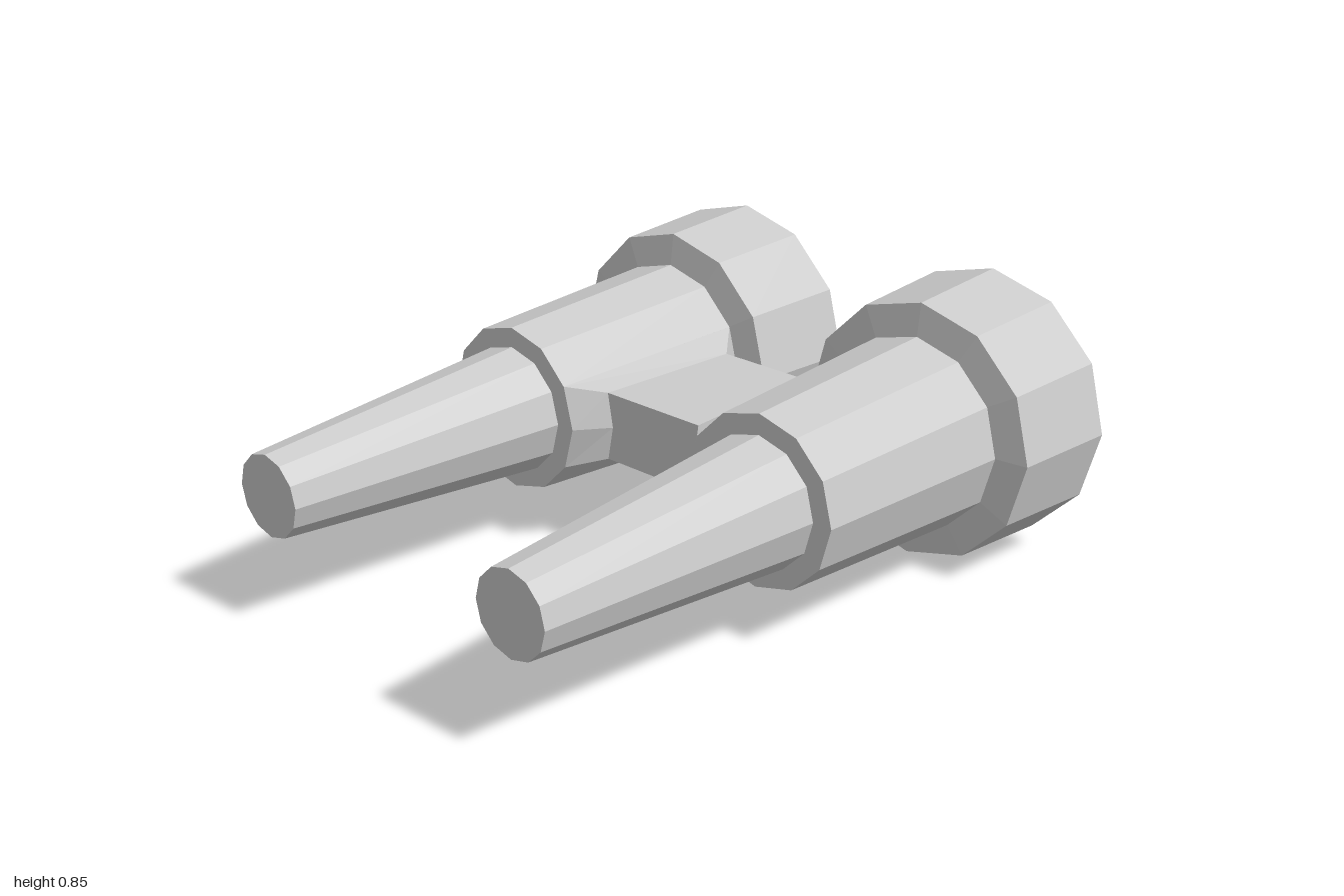
import * as THREE from 'three';

const AXIS_Y = 0.427; // height of the barrel axes
const AXIS_Z = 0.5;   // sideways offset of each barrel

export function createModel() {
  const group = new THREE.Group();
  const material = new THREE.MeshStandardMaterial({ color: 0xcccccc, flatShading: true });

  // Barrel profile: [radius, x], from the eyepiece to the recessed front lens
  const profile = [
    [0, -1], [0.126, -1], [0.2, -0.08],      // eyepiece tube
    [0.263, -0.08], [0.302, 0.625],          // prism body
    [0.405, 0.637], [0.427, 1],              // objective ring
    [0.347, 1], [0.347, 0.9], [0, 0.9],      // rim and lens recess
  ].map(([r, x]) => new THREE.Vector2(r, x));
  const barrelGeometry = new THREE.LatheGeometry(profile, 12);
  barrelGeometry.rotateZ(-Math.PI / 2);

  for (const [name, side] of [['frontBarrel', 1], ['backBarrel', -1]]) {
    const barrel = new THREE.Mesh(barrelGeometry, material);
    barrel.name = name;
    barrel.position.set(0, AXIS_Y, side * AXIS_Z);
    group.add(barrel);
  }

  const bridge = new THREE.Mesh(bridgeGeometry(), material);
  bridge.name = 'bridge';
  group.add(bridge);
  return group;
}

// Bridge: six-point sections that flare out to meet the inner facets of both barrels
function bridgeGeometry() {
  // Points: [x, height above axis, distance from the middle plane]
  const flare = [
    [-0.08, -0.132, 0.272], [-0.08, 0, 0.237], [-0.08, 0.132, 0.272],
    [0.625, 0.151, 0.238], [0.625, 0, 0.198], [0.625, -0.151, 0.238],
  ];
  const neck = [
    [0.02, -0.108, 0.185], [0.02, 0, 0.165], [0.02, 0.108, 0.185],
    [0.52, 0.108, 0.155], [0.52, 0, 0.127], [0.52, -0.108, 0.155],
  ];
  const place = (ring, side) => ring.map(([x, y, z]) => [x, AXIS_Y + y, side * z]);
  const rings = [place(flare, -1), place(neck, -1), place(neck, 1), place(flare, 1)];

  const positions = [];
  for (let k = 0; k < rings.length - 1; k++) {
    for (let i = 0; i < 6; i++) {
      const j = (i + 1) % 6;
      const a = rings[k][i], b = rings[k][j], c = rings[k + 1][j], d = rings[k + 1][i];
      positions.push(...a, ...d, ...c, ...a, ...c, ...b);
    }
  }
  const geometry = new THREE.BufferGeometry();
  geometry.setAttribute('position', new THREE.Float32BufferAttribute(positions, 3));
  geometry.computeVertexNormals();
  return geometry;
}
